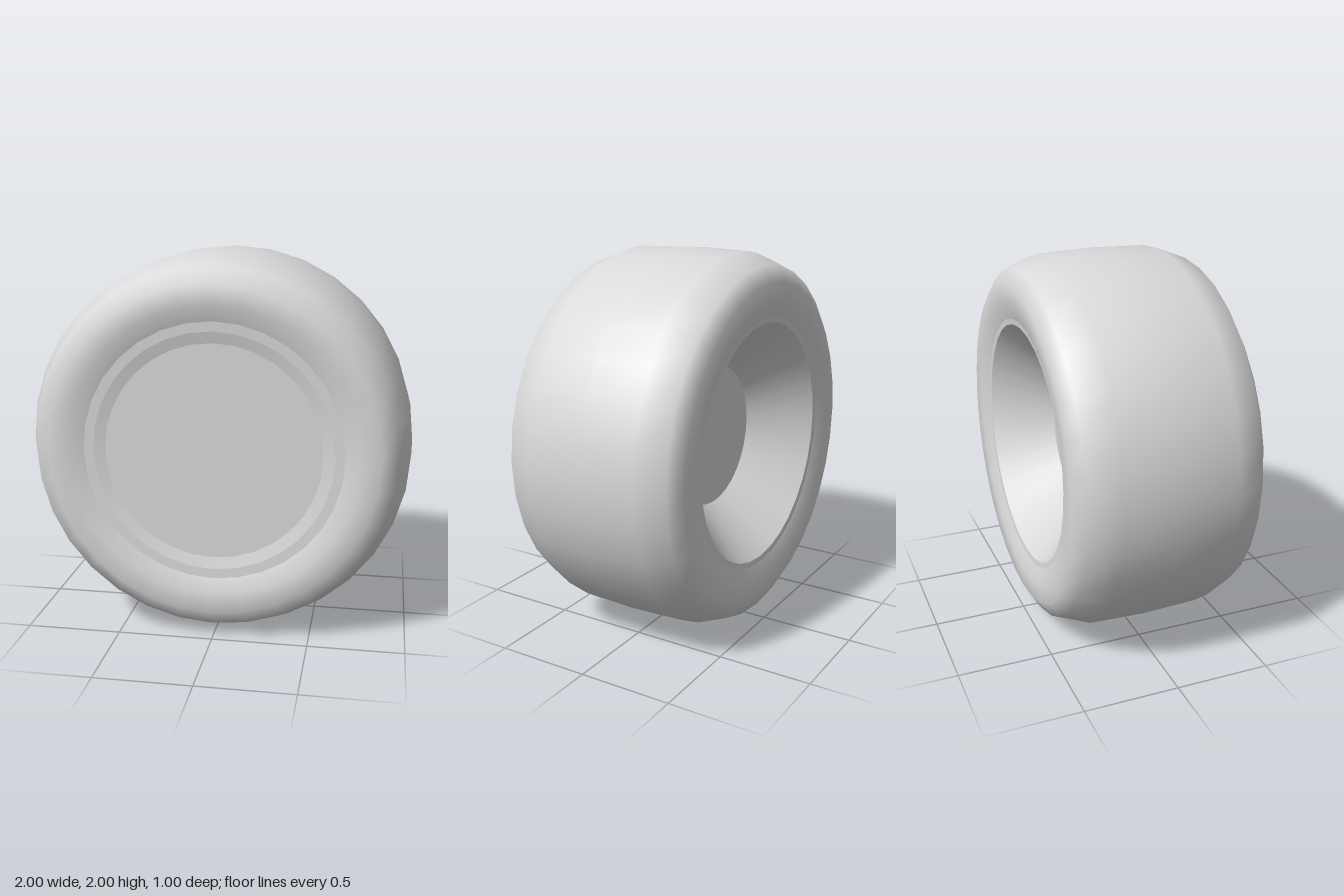
import * as THREE from 'three';

export function createModel() {
  const group = new THREE.Group();
  group.name = 'wheel';
  const grey = new THREE.MeshStandardMaterial({ color: 0xd9d9d9 });
  grey.name = 'plain grey';

  // Turns a [radius, z] profile about the axle; profiles run from back to front round the outside
  function turned(name, profile, segments = 32) {
    const geometry = new THREE.LatheGeometry(profile.map(([r, z]) => new THREE.Vector2(r, z)), segments);
    geometry.rotateX(Math.PI / 2);
    const mesh = new THREE.Mesh(geometry, grey);
    mesh.name = name;
    mesh.position.y = 1;
    group.add(mesh);
  }

  // Tyre: half profile mirrored to both sides
  const half = [[0.99, 0.3], [0.93, 0.45], [0.85, 0.5], [0.75, 0.495], [0.67, 0.468]];
  const back = half.map(([r, z]) => [r, -z]).reverse();
  turned('tyre', [...back, [1, 0], ...half]);

  // Front rim: flat lip, sloped edge and shallow hub face
  turned('frontRimLip', [[0.67, 0.468], [0.62, 0.466]]);
  turned('frontRimSlope', [[0.62, 0.466], [0.56, 0.452]]);
  turned('frontHubFace', [[0.56, 0.452], [0, 0.452]], 64);

  // Back rim: lip, deep dish and inner hub face
  turned('backHubFace', [[0, -0.17], [0.38, -0.17]]);
  turned('backDish', [[0.38, -0.17], [0.64, -0.465]]);
  turned('backRimLip', [[0.64, -0.465], [0.67, -0.468]]);

  return group;
}
